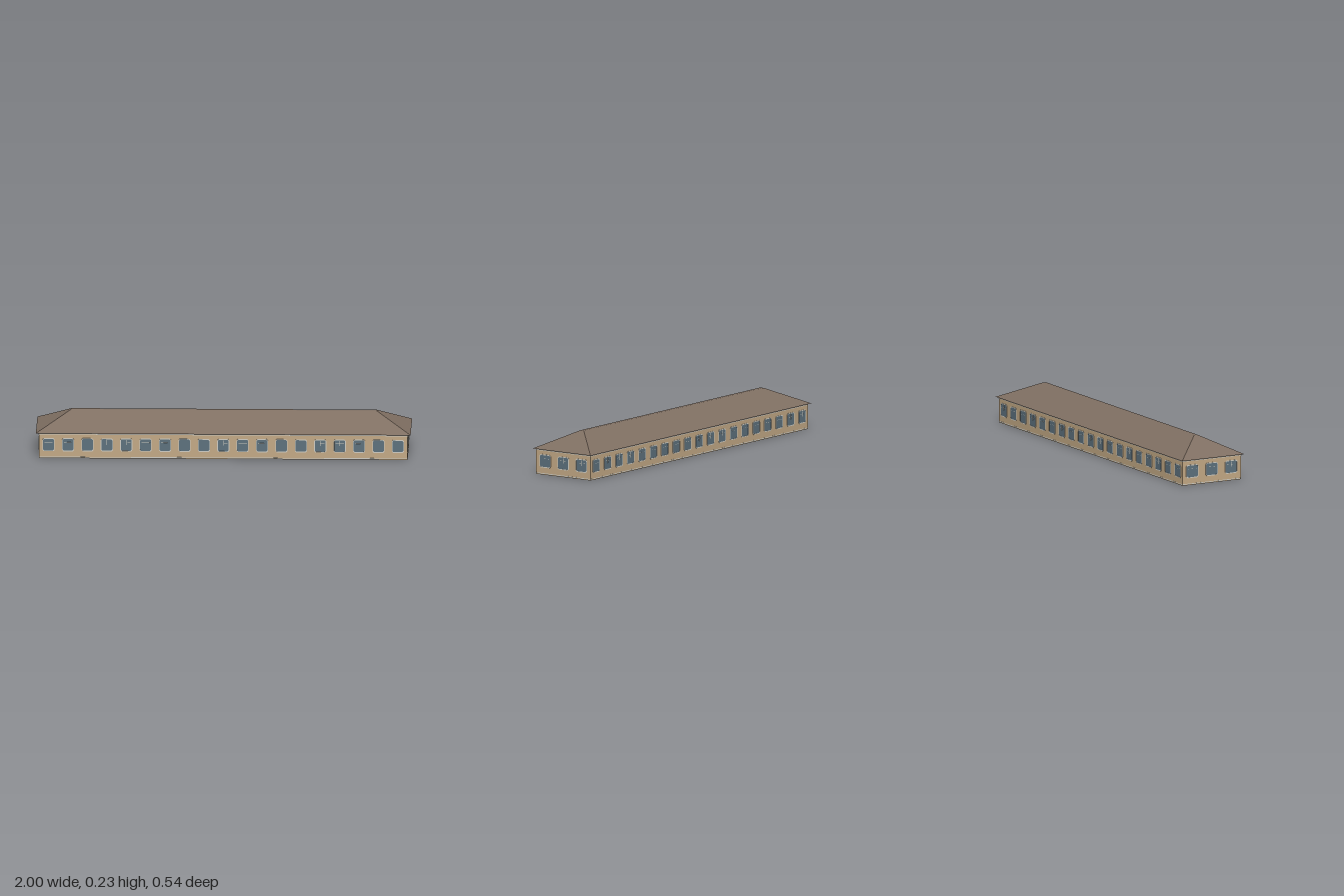
import * as THREE from 'three';

const mat = (name, color, side = THREE.FrontSide) => {
  const m = new THREE.MeshStandardMaterial({ color, side });
  m.name = name;
  return m;
};

// Rectangle with chamfered corners, centred on the origin
function chamfered(PathType, w, h, c) {
  const x = w / 2, y = h / 2;
  return new PathType([
    [-x + c, -y], [x - c, -y], [x, -y + c], [x, y - c],
    [x - c, y], [-x + c, y], [-x, y - c], [-x, -y + c],
  ].map(([a, b]) => new THREE.Vector2(a, b)));
}

function plate(shape, depth) {
  const g = new THREE.ExtrudeGeometry(shape, { depth, bevelEnabled: false });
  return g.translate(0, 0, -depth / 2);
}

// Hipped roof shell between an eave rectangle and a narrow ridge rectangle
function hipRoof(eave, ridge) {
  const ring = ([x, y, z]) => [[-x, y, z], [x, y, z], [x, y, -z], [-x, y, -z]];
  const b = ring(eave), t = ring(ridge), pos = [];
  const quad = (p, q, r, s) => pos.push(...p, ...q, ...r, ...p, ...r, ...s);
  for (let i = 0; i < 4; i++) {
    const j = (i + 1) % 4;
    quad(b[i], b[j], t[j], t[i]);
  }
  quad(...t);
  const g = new THREE.BufferGeometry();
  g.setAttribute('position', new THREE.Float32BufferAttribute(pos, 3));
  g.computeVertexNormals();
  return g;
}

export function createModel() {
  const model = new THREE.Group();
  model.name = 'longHouse';

  const wallMat = mat('tan wall', 0xc2a884, THREE.DoubleSide);
  const roofMat = mat('brown roof', 0x7f6f62, THREE.DoubleSide);
  const glassMat = mat('blue grey glass', 0x5c707c);
  const trimMat = mat('pale trim', 0xcfccc2);

  const halfL = 0.972, halfW = 0.177, wallH = 0.135;

  const add = (parent, name, geo, material, x = 0, y = 0, z = 0) => {
    const m = new THREE.Mesh(geo, material);
    m.name = name;
    m.position.set(x, y, z);
    parent.add(m);
    return m;
  };

  // Window parts, shared by every opening; they show inside and outside
  const frameShape = chamfered(THREE.Shape, 0.074, 0.071, 0.008);
  frameShape.holes.push(chamfered(THREE.Path, 0.066, 0.062, 0.006));
  const frameGeo = plate(frameShape, 0.004);
  const glassGeo = plate(chamfered(THREE.Shape, 0.067, 0.063, 0.006), 0.002);
  const barGeo = new THREE.BoxGeometry(0.001, 0.028, 0.003);
  const transomGeo = new THREE.BoxGeometry(0.05, 0.001, 0.003);

  function makeWindow(x, scale) {
    const w = new THREE.Group();
    w.name = 'window';
    w.position.set(x, 0.073, 0);
    w.scale.x = scale;
    add(w, 'windowFrame', frameGeo, trimMat);
    add(w, 'windowGlass', glassGeo, glassMat);
    add(w, 'windowBar', barGeo, trimMat, 0, 0.014);
    add(w, 'windowTransom', transomGeo, trimMat, 0, 0.013);
    return w;
  }

  // One wall with evenly spaced windows, a cornice and a base strip
  function makeWall(name, length, count, distance, angle) {
    const wall = new THREE.Group();
    wall.name = name;
    wall.rotation.y = angle;
    wall.position.set(Math.sin(angle) * distance, 0, Math.cos(angle) * distance);
    add(wall, 'wallPanel', new THREE.PlaneGeometry(length, wallH), wallMat, 0, wallH / 2);
    add(wall, 'cornice', new THREE.BoxGeometry(length + 0.003, 0.006, 0.003), trimMat, 0, 0.131);
    add(wall, 'baseStrip', new THREE.BoxGeometry(length, 0.004, 0.001), trimMat, 0, 0.006);
    const step = length / count;
    for (let i = 0; i < count; i++) {
      wall.add(makeWindow((i + 0.5) * step - length / 2, step / 0.118));
    }
    return wall;
  }

  // The whole building sits slightly turned on its plot
  const house = new THREE.Group();
  house.name = 'house';
  house.rotation.y = 0.0826;
  model.add(house);

  house.add(
    makeWall('frontWall', halfL * 2, 19, halfW, 0),
    makeWall('backWall', halfL * 2, 19, halfW, Math.PI),
    makeWall('leftWall', halfW * 2, 3, halfL, Math.PI / 2),
    makeWall('rightWall', halfW * 2, 3, halfL, -Math.PI / 2),
  );

  add(house, 'hipRoof', hipRoof([0.988, 0.136, 0.189], [0.805, 0.226, 0.011]), roofMat);

  return model;
}
